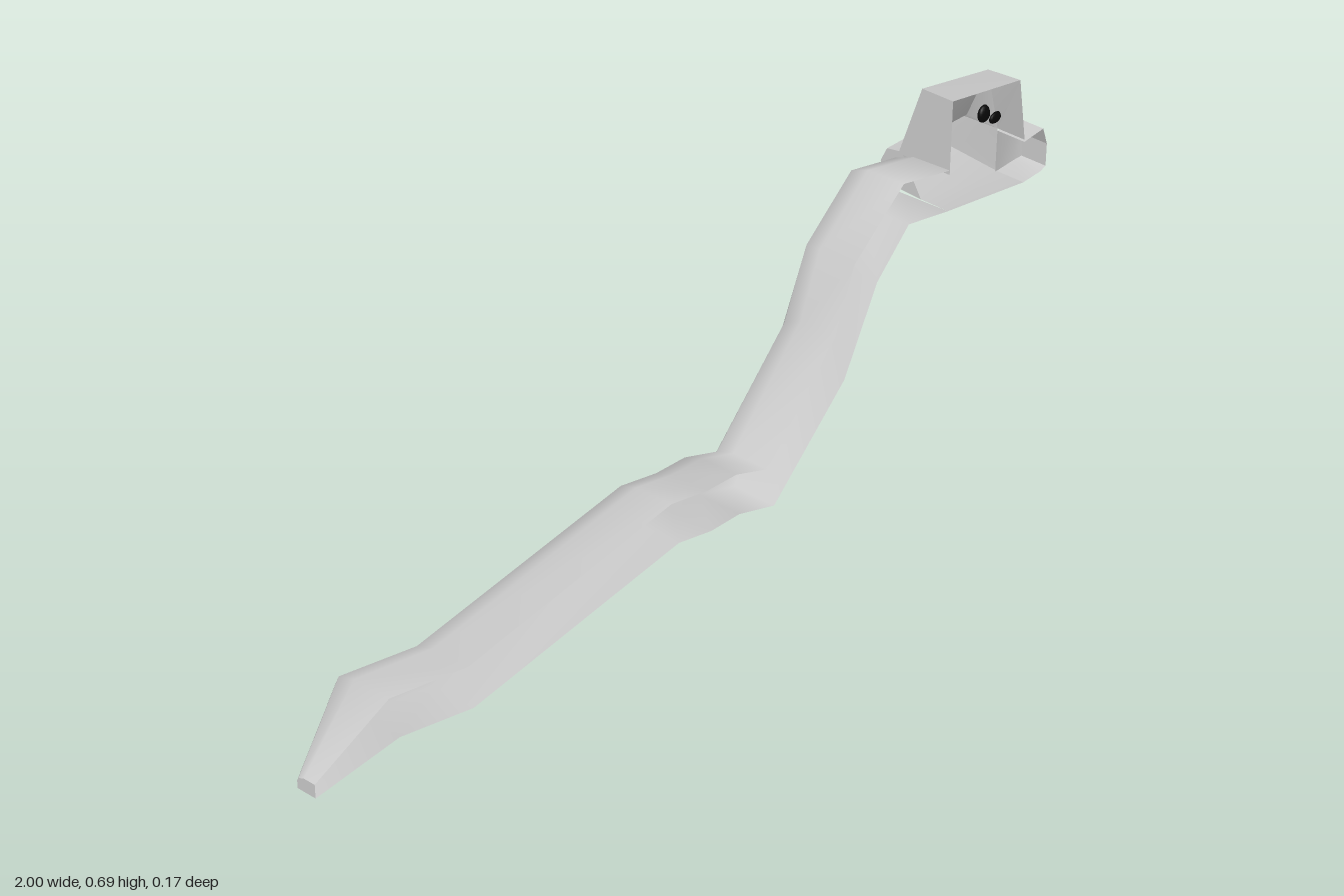
import * as THREE from 'three';
import { toCreasedNormals } from 'three/addons/utils/BufferGeometryUtils.js';

const MID = 0.085; // the open cut plane; the half body lies behind it

function build(points, index, crease) {
  const g = new THREE.BufferGeometry();
  g.setAttribute('position', new THREE.Float32BufferAttribute(points.flat(), 3));
  g.setIndex(index);
  g.computeVertexNormals();
  return crease ? toCreasedNormals(g, crease) : g;
}

// Skin between rings running from the top centre, round the outside, to the bottom centre
function loft(rings, crease) {
  const n = rings[0].length, index = [];
  for (let i = 0; i < rings.length - 1; i++) {
    for (let j = 0; j < n - 1; j++) {
      const a = i * n + j, b = a + n;
      index.push(a, b, a + 1, b, b + 1, a + 1);
    }
  }
  return build(rings.flat(), index, crease);
}

// Fan from one point along a line of points
function fan(centre, line, forward) {
  const index = [];
  for (let i = 1; i < line.length; i++) index.push(0, ...(forward ? [i + 1, i] : [i, i + 1]));
  return build([centre, ...line], index, 0.3);
}

export function createModel() {
  const model = new THREE.Group();
  const grey = new THREE.MeshStandardMaterial({ color: 0xcccccc, side: THREE.DoubleSide });
  const black = new THREE.MeshStandardMaterial({ color: 0x080808 });
  const add = (name, geometry, material = grey, parent = model) => {
    const mesh = new THREE.Mesh(geometry, material);
    mesh.name = name;
    parent.add(mesh);
    return mesh;
  };

  // Body: top x, top y, bottom x, bottom y, outer z
  const stations = [
    [-1, 0.065, -1, 0.035, 0.04],
    [-0.82, 0.146, -0.8, 0.05, -0.062],
    [-0.63, 0.107, -0.62, 0.01, -0.062],
    [-0.1, 0.181, -0.08, 0.083, -0.062],
    [0, 0.16, 0.01, 0.063, -0.062],
    [0.08, 0.155, 0.09, 0.06, -0.062],
    [0.17, 0.122, 0.19, 0.028, -0.062],
    [0.36, 0.33, 0.39, 0.217, -0.062],
    [0.41, 0.465, 0.48, 0.395, -0.062],
    [0.55, 0.58, 0.57, 0.483, -0.062],
    [0.69, 0.55, 0.69, 0.46, -0.062],
  ];
  // Half section: share of the width, share of the height
  const section = [[0, 1], [0.6, 0.95], [0.9, 0.76], [1, 0.5], [1, -0.05], [0.7, -0.04], [0, 0]];
  const bodyRings = stations.map(([tx, ty, bx, by, z]) => section.map(([w, h]) => [
    bx + (tx - bx) * h, by + (ty - by) * h, MID + (z - MID) * w,
  ]));
  add('body', loft(bodyRings));
  add('tailTip', fan(bodyRings[0][6], bodyRings[0].slice(0, 6), false));

  // Head: sloping crown, bulging cheek, flat chin
  const head = new THREE.Group();
  head.name = 'head';
  model.add(head);
  const back = [
    [0.69, 0.7, MID], [0.69, 0.7, 0.01], [0.69, 0.545, -0.04], [0.69, 0.54, -0.07],
    [0.69, 0.508, -0.085], [0.69, 0.465, -0.07], [0.69, 0.46, 0.018], [0.69, 0.46, MID],
  ];
  const face = [
    [0.9, 0.662, MID], [0.895, 0.66, 0.01], [0.9, 0.54, -0.04], [0.893, 0.538, -0.07],
    [0.888, 0.505, -0.085], [0.895, 0.458, -0.07], [0.93, 0.422, 0.018], [0.93, 0.422, MID],
  ];
  add('skull', loft([back, face], 0.8), grey, head);
  add('headBack', fan([0.69, 0.54, -0.03], [[0.69, 0.54, MID], ...back.slice(0, 7)], false), grey, head);
  add('face', fan([0.925, 0.52, 0.018], [[0.925, 0.52, MID], ...face.slice(0, 7)], true), grey, head);

  // Snout: short block with a bevelled nose
  const snoutRing = (x, top, bottom, z) => [[x, top, MID], [x, top, z], [x, bottom, z], [x, bottom, MID]];
  const snoutRings = [
    snoutRing(0.925, 0.515, 0.422, 0.018),
    snoutRing(0.985, 0.52, 0.424, 0.018),
    snoutRing(1, 0.48, 0.43, 0.025),
  ];
  add('snout', loft(snoutRings, 0.5), grey, head);
  add('noseFront', fan(snoutRings[2][3], snoutRings[2].slice(0, 3), true), grey, head);

  // Eye: two dark slivers either side of a pale gap
  [[0.906, 0.025, 0.006, 0.012], [0.904, -0.001, 0.009, 0.019]].forEach(([x, z, rz, ry]) => {
    const eye = add('eye', new THREE.SphereGeometry(1, 16, 12), black, head);
    eye.position.set(x, 0.555, z);
    eye.scale.set(0.018, ry, rz);
  });

  return model;
}
